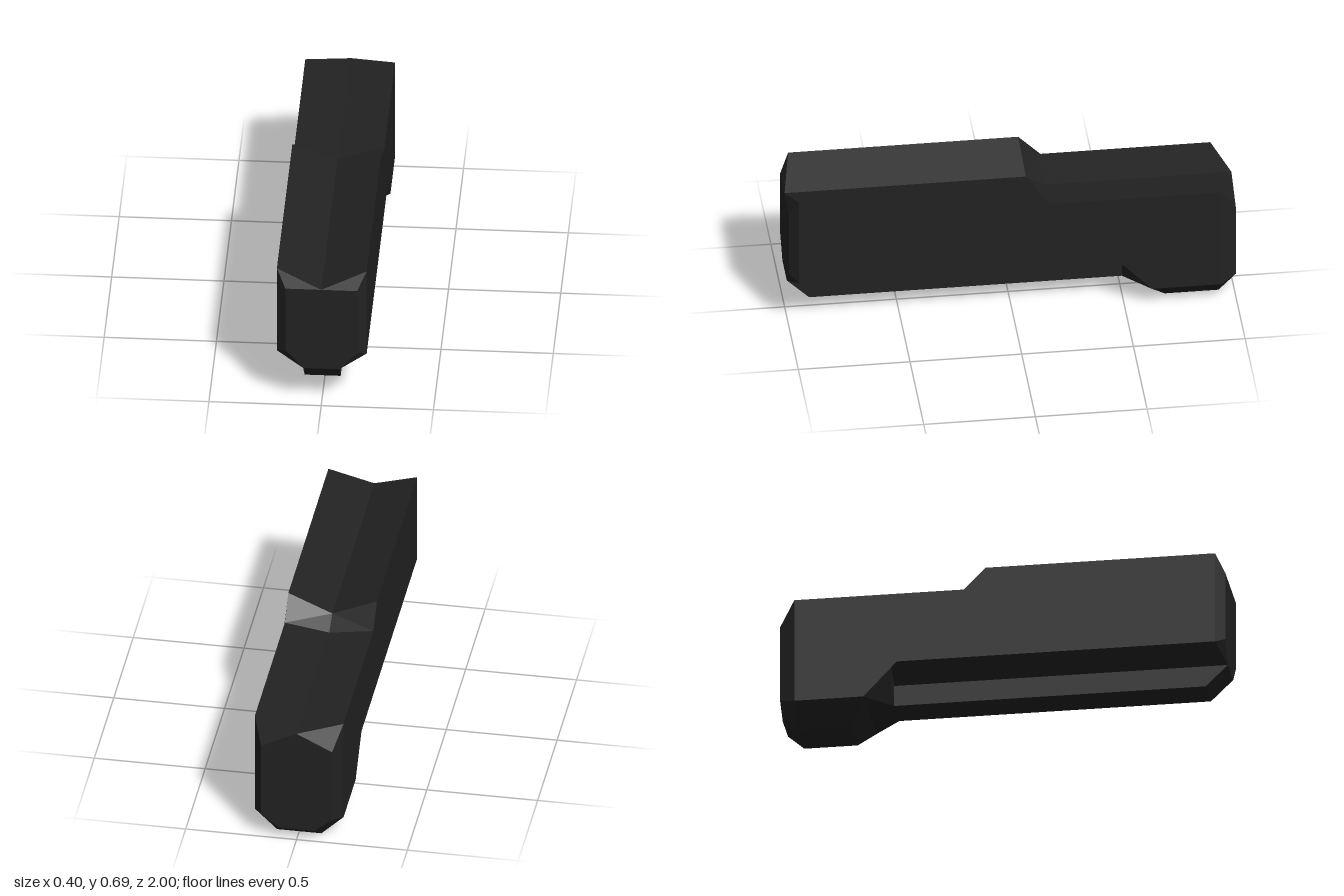
import * as THREE from 'three';

// Half cross-sections from front to back. Each lists four points [x, y, z]:
// shoulder, lower side, rail top, rail bottom; "ridge" is the [y, z] of the top centre.
const SECTIONS = [
  // front face and its bevel
  { ridge: [0.61, 1], pts: [[0.16, 0.61, 1], [0.16, 0.285, 1], [0.08, 0.195, 1], [0.08, 0.195, 1]] },
  { ridge: [0.61, 1], pts: [[0.2, 0.69, 0.96], [0.2, 0.258, 0.96], [0.08, 0.195, 1], [0.08, 0.097, 0.9]] },
  // end of the raised top and of the lower rail
  { ridge: [0.61, -0.08], pts: [[0.2, 0.69, -0.07], [0.2, 0.258, -0.5], [0.08, 0.195, -0.5], [0.08, 0.097, -0.5]] },
  { ridge: [0.56, -0.16], pts: [[0.2, 0.59, -0.16], [0.2, 0.097, -0.62], [0.08, 0.097, -0.5], [0.08, 0.097, -0.5]] },
  // start of the deeper rear block
  { ridge: [0.56, -0.16], pts: [[0.2, 0.59, -0.16], [0.2, 0.097, -0.62], [0.2, 0.097, -0.62], [0.2, 0.097, -0.62]] },
  { ridge: [0.56, -0.16], pts: [[0.2, 0.59, -0.16], [0.2, 0.097, -0.62], [0.2, 0.097, -0.62], [0.1, 0, -0.69]] },
  // rear bevel and rear face
  { ridge: [0.56, -1], pts: [[0.2, 0.59, -0.93], [0.2, 0.097, -0.93], [0.2, 0.097, -0.93], [0.1, 0, -0.93]] },
  { ridge: [0.56, -1], pts: [[0.16, 0.48, -1], [0.16, 0.12, -1], [0.16, 0.12, -1], [0.08, 0.055, -1]] },
];

// Skins the half sections and mirrors every triangle across x = 0.
function mirroredLoft(sections) {
  const rings = sections.map(({ ridge, pts }) => {
    const [, y, z] = pts[pts.length - 1];
    return [[0, ...ridge], ...pts, [0, y, z]].map((p) => new THREE.Vector3(...p));
  });
  const positions = [];
  const addTriangle = (a, b, c) => {
    if (new THREE.Triangle(a, b, c).getArea() < 1e-7) return;
    for (const p of [a, b, c]) positions.push(p.x, p.y, p.z);
    for (const p of [a, c, b]) positions.push(-p.x, p.y, p.z);
  };
  const count = rings[0].length;
  for (let i = 0; i < rings.length - 1; i++) {
    const front = rings[i], back = rings[i + 1];
    for (let j = 0; j < count - 1; j++) {
      addTriangle(front[j], front[j + 1], back[j + 1]);
      addTriangle(front[j], back[j + 1], back[j]);
    }
  }
  // end caps
  const first = rings[0], last = rings[rings.length - 1];
  for (let j = 1; j < count - 1; j++) {
    addTriangle(first[0], first[j + 1], first[j]);
    addTriangle(last[0], last[j], last[j + 1]);
  }
  const geometry = new THREE.BufferGeometry();
  geometry.setAttribute('position', new THREE.Float32BufferAttribute(positions, 3));
  geometry.computeVertexNormals();
  return geometry;
}

export function createModel() {
  const charcoal = new THREE.MeshStandardMaterial({ color: 0x222222 });
  charcoal.name = 'charcoal';

  const model = new THREE.Group();
  model.name = 'bevelledBlock';
  const body = new THREE.Mesh(mirroredLoft(SECTIONS), charcoal);
  body.name = 'body';
  model.add(body);
  return model;
}
